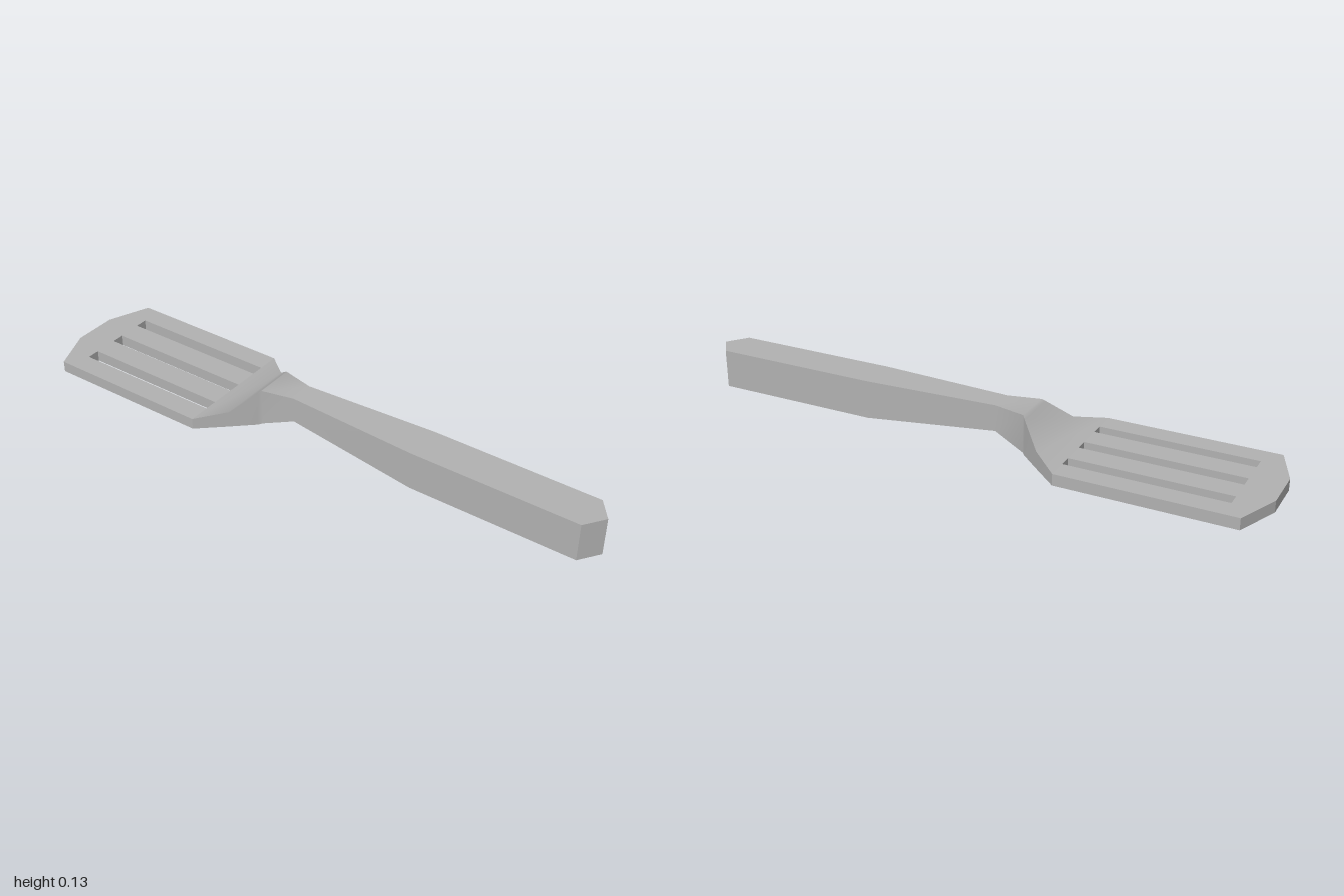
import * as THREE from 'three';
import { toCreasedNormals } from 'three/addons/utils/BufferGeometryUtils.js';

// Four-cornered cross-sections [z, half width, bottom, top], joined from front to back
function loft(sections) {
  const pos = [], index = [];
  for (const [z, w, lo, hi] of sections) {
    pos.push(-w, lo, z, w, lo, z, w, hi, z, -w, hi, z);
  }
  for (let i = 0; i < sections.length - 1; i++) {
    for (let k = 0; k < 4; k++) {
      const a = i * 4 + k, b = i * 4 + (k + 1) % 4;
      index.push(a, a + 4, b + 4, a, b + 4, b);
    }
  }
  const e = (sections.length - 1) * 4;
  index.push(e, e + 3, e + 2, e, e + 2, e + 1);
  const geo = new THREE.BufferGeometry();
  geo.setAttribute('position', new THREE.Float32BufferAttribute(pos, 3));
  geo.setIndex(index);
  return toCreasedNormals(geo, 0.8);
}

export function createModel() {
  const group = new THREE.Group();
  group.name = 'spatula';
  const grey = new THREE.MeshStandardMaterial({ color: 0xb2b2b2 });
  grey.name = 'grey';

  // Handle with pointed end, narrowing to the neck and flaring into the blade
  const handle = new THREE.Mesh(loft([
    [1, 0, 0, 0.133],
    [0.95, 0.068, 0, 0.133],
    [0.38, 0.068, 0, 0.133],
    [-0.08, 0.043, 0.043, 0.133],
    [-0.19, 0.068, 0.003, 0.133],
    [-0.2, 0.078, 0, 0.124],
    [-0.27, 0.141, 0, 0.058],
    [-0.36, 0.22, 0, 0.039],
  ]), grey);
  handle.name = 'handleAndNeck';
  group.add(handle);

  // Flat blade, drawn in (x, -z); the slots open against the neck's end face
  const start = 0.36, slotEnd = 0.89, half = 0.022;
  const outline = [[-0.22, start]];
  for (const x of [-0.125, 0, 0.125]) {
    outline.push([x - half, start], [x - half, slotEnd], [x + half, slotEnd], [x + half, start]);
  }
  outline.push([0.22, start], [0.22, 0.94], [0.075, 1], [-0.075, 1], [-0.22, 0.94]);
  const shape = new THREE.Shape(outline.map(([x, y]) => new THREE.Vector2(x, y)));
  const bladeGeo = new THREE.ExtrudeGeometry(shape, { depth: 0.039, bevelEnabled: false });
  bladeGeo.rotateX(-Math.PI / 2);
  const blade = new THREE.Mesh(bladeGeo, grey);
  blade.name = 'slottedBlade';
  group.add(blade);

  return group;
}
